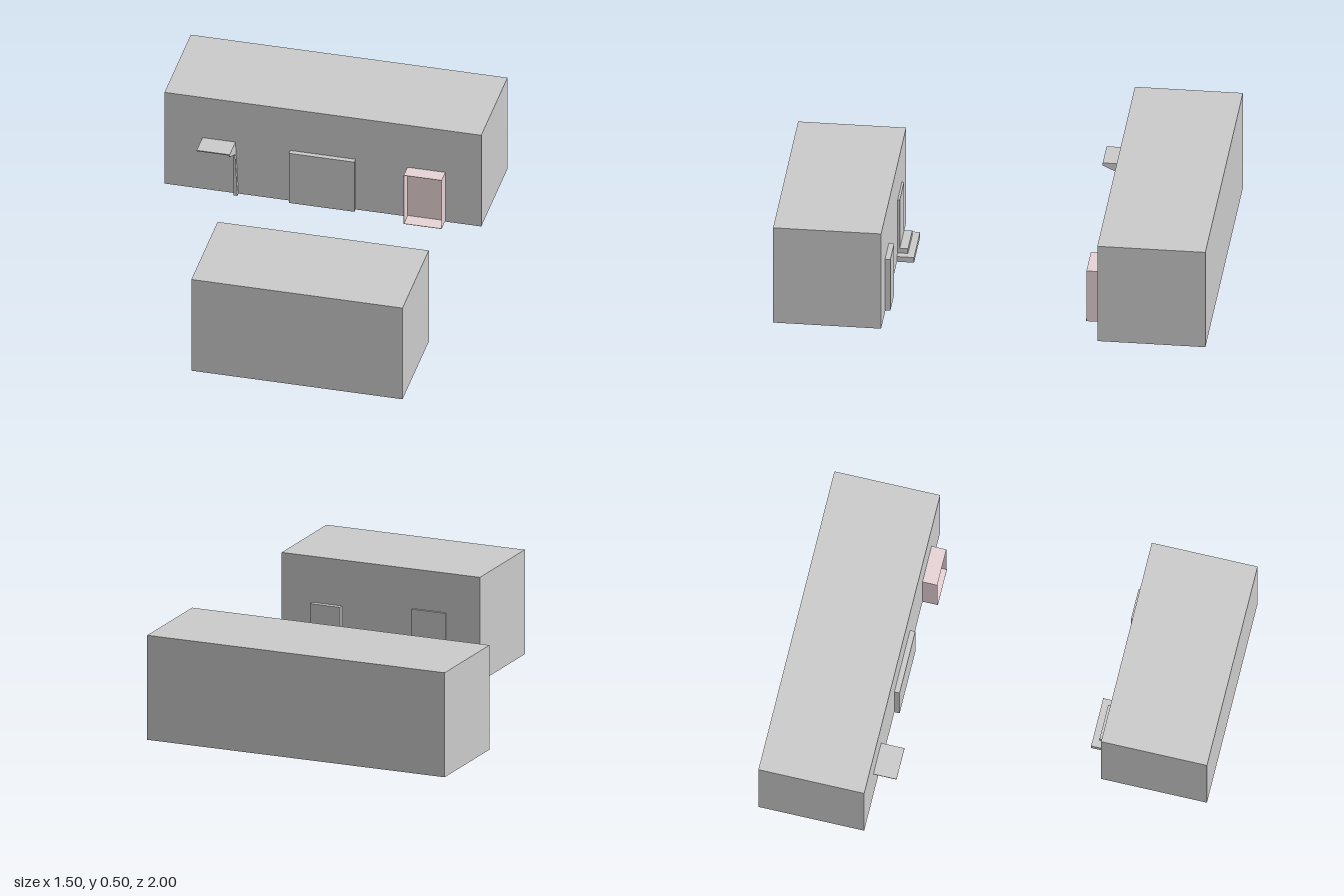
import * as THREE from 'three';

const grey = new THREE.MeshStandardMaterial({ color: 0xcccccc, flatShading: true });
const pink = new THREE.MeshStandardMaterial({ color: 0xe8d4d6, flatShading: true, side: THREE.DoubleSide });

// Box given by its limits on each axis
function block(name, [x0, x1], [y0, y1], [z0, z1], material = grey) {
  const geometry = new THREE.BoxGeometry(x1 - x0, y1 - y0, z1 - z0);
  geometry.translate((x0 + x1) / 2, (y0 + y1) / 2, (z0 + z1) / 2);
  const mesh = new THREE.Mesh(geometry, material);
  mesh.name = name;
  return mesh;
}

// Shallow booth, open at the front
function createBooth() {
  const booth = new THREE.Group();
  booth.name = 'openBooth';
  const x = [0.4, 0.58], y = [0.005, 0.27], z = [-0.5, -0.43], t = 0.002;
  booth.add(
    block('boothBack', x, y, [z[0], z[0] + t], pink),
    block('boothRoof', x, [y[1] - t, y[1]], z, pink),
    block('boothFloor', x, [y[0], y[0] + t], [z[0], -0.427], pink),
    block('boothRightWall', [x[0], x[0] + t], y, z, pink),
    block('boothLeftWall', [x[1] - t, x[1]], y, z, pink),
  );
  return booth;
}

// Porch: thin canopy on a tapered side bracket
function createPorch() {
  const porch = new THREE.Group();
  porch.name = 'porch';
  porch.add(block('canopy', [-0.57, -0.415], [0.275, 0.28], [-0.5, -0.39]));

  // Profile drawn as (-z, y), extruded and turned so its depth runs along x
  const profile = new THREE.Shape([
    [0.5, 0], [0.5, 0.28], [0.39, 0.28], [0.39, 0.267], [0.48, 0.225], [0.48, 0],
  ].map(([a, b]) => new THREE.Vector2(a, b)));
  const geometry = new THREE.ExtrudeGeometry(profile, { depth: 0.004, bevelEnabled: false });
  geometry.rotateY(Math.PI / 2);
  geometry.translate(-0.418, 0, 0);
  // Outer face leans outward towards the foot
  const p = geometry.attributes.position;
  for (let i = 0; i < p.count; i++) {
    if (p.getX(i) > -0.416) p.setX(i, -0.414 + 0.014 * (1 - p.getY(i) / 0.28));
  }
  geometry.computeVertexNormals();
  const bracket = new THREE.Mesh(geometry, grey);
  bracket.name = 'sideBracket';

  // Ground sheet seen only from below
  const sheet = new THREE.Mesh(new THREE.PlaneGeometry(0.16, 0.09).rotateX(Math.PI / 2), grey);
  sheet.position.set(-0.49, 0.004, -0.455);
  sheet.name = 'groundSheet';
  porch.add(bracket, sheet);
  return porch;
}

export function createModel() {
  const model = new THREE.Group();
  model.name = 'facingBuildings';

  // Long building at the back with its openings towards the street
  const rear = new THREE.Group();
  rear.name = 'rearBuilding';
  rear.add(
    block('rearHall', [-0.75, 0.75], [0, 0.5], [-1, -0.5]),
    block('widePanel', [-0.155, 0.155], [0.003, 0.275], [-0.5, -0.475]),
    createPorch(),
    createBooth(),
  );

  // Shorter building at the front, door and steps towards the street
  const front = new THREE.Group();
  front.name = 'frontBuilding';
  front.add(
    block('frontHall', [-0.25, 0.75], [0, 0.5], [0.5, 1]),
    block('door', [-0.08, 0.09], [0.05, 0.31], [0.49, 0.5]),
    block('lowerStep', [-0.115, 0.125], [0.003, 0.03], [0.42, 0.5]),
    block('upperStep', [-0.08, 0.09], [0.03, 0.055], [0.452, 0.5]),
    block('sidePanel', [0.445, 0.595], [0.01, 0.28], [0.475, 0.5]),
  );

  model.add(rear, front);
  return model;
}
